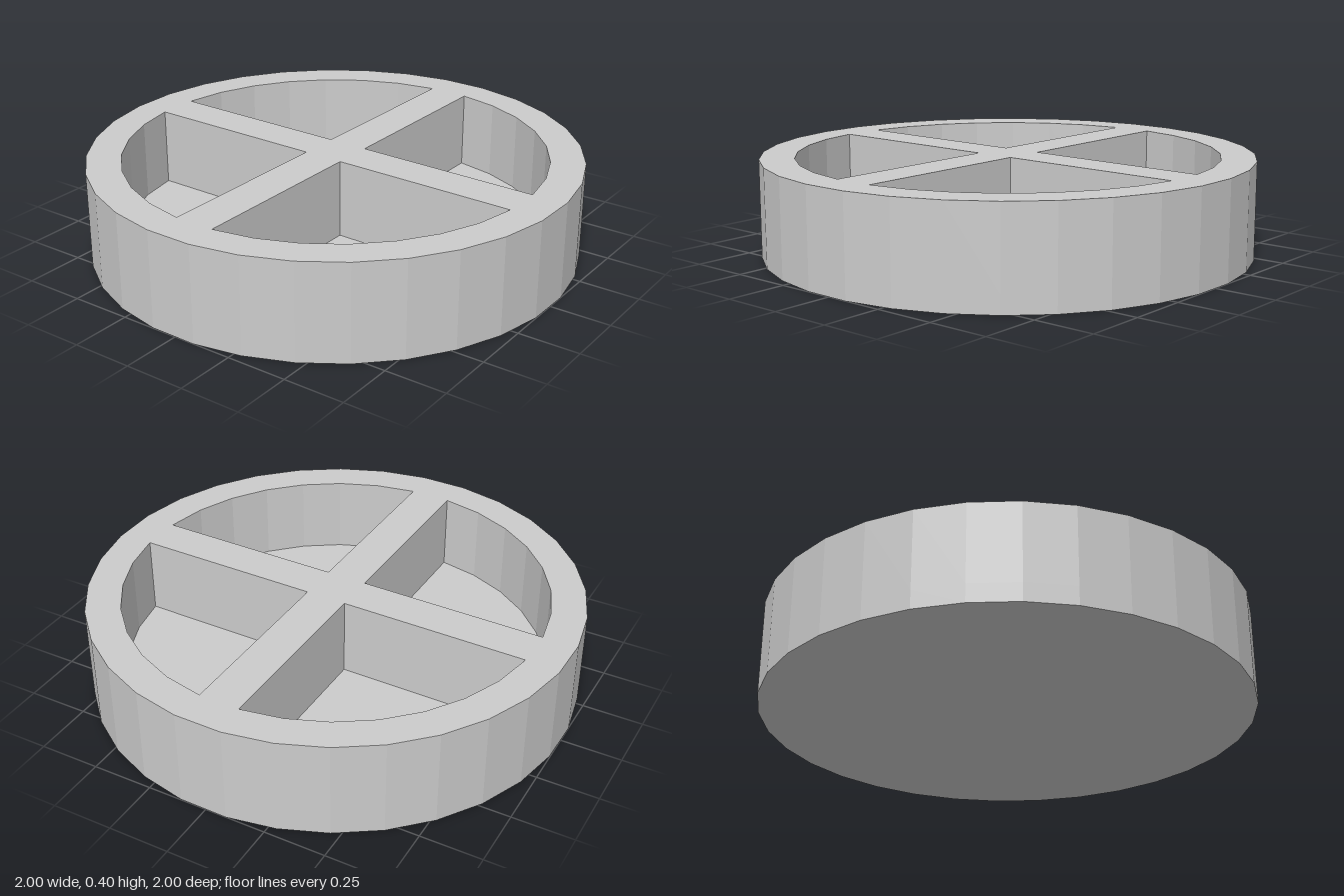
import * as THREE from 'three';

const SIDES = 32;
const STEP = (Math.PI * 2) / SIDES;
const OUTER = 1.004, INNER = 0.863;
const HEIGHT = 0.4, FLOOR = 0.075;

// Points on a circle at half-step offsets, so facets sit square to the axes
const arc = (radius, first, count) =>
  Array.from({ length: count }, (_, i) => {
    const a = (first + i + 0.5) * STEP;
    return new THREE.Vector2(Math.cos(a) * radius, Math.sin(a) * radius);
  });

// Extrude upward from height y
function slab(shape, y, depth) {
  const geometry = new THREE.ExtrudeGeometry(shape, { depth, bevelEnabled: false });
  return geometry.rotateX(-Math.PI / 2).translate(0, y, 0);
}

export function createModel() {
  const group = new THREE.Group();
  group.name = 'dividedRoundTray';
  const material = new THREE.MeshStandardMaterial({ color: 0xcccccc, flatShading: true });
  const add = (name, geometry) => {
    const mesh = new THREE.Mesh(geometry, material);
    mesh.name = name;
    group.add(mesh);
  };

  // Solid floor disc
  add('floor', slab(new THREE.Shape(arc(OUTER, 0, SIDES)), 0, FLOOR));

  // Rim and cross-shaped dividers: a disc with four quarter pockets
  const walls = new THREE.Shape(arc(OUTER, 0, SIDES));
  const half = INNER * Math.sin(STEP / 2);
  const perQuarter = SIDES / 4;
  for (let q = 0; q < 4; q++) {
    const corner = new THREE.Vector2(half, half)
      .rotateAround(new THREE.Vector2(), (q * Math.PI) / 2);
    walls.holes.push(new THREE.Path([corner, ...arc(INNER, q * perQuarter, perQuarter)]));
  }
  add('rimAndDividers', slab(walls, FLOOR, HEIGHT - FLOOR));

  // Slight turn about the vertical axis
  group.rotation.y = -0.0115;
  return group;
}
